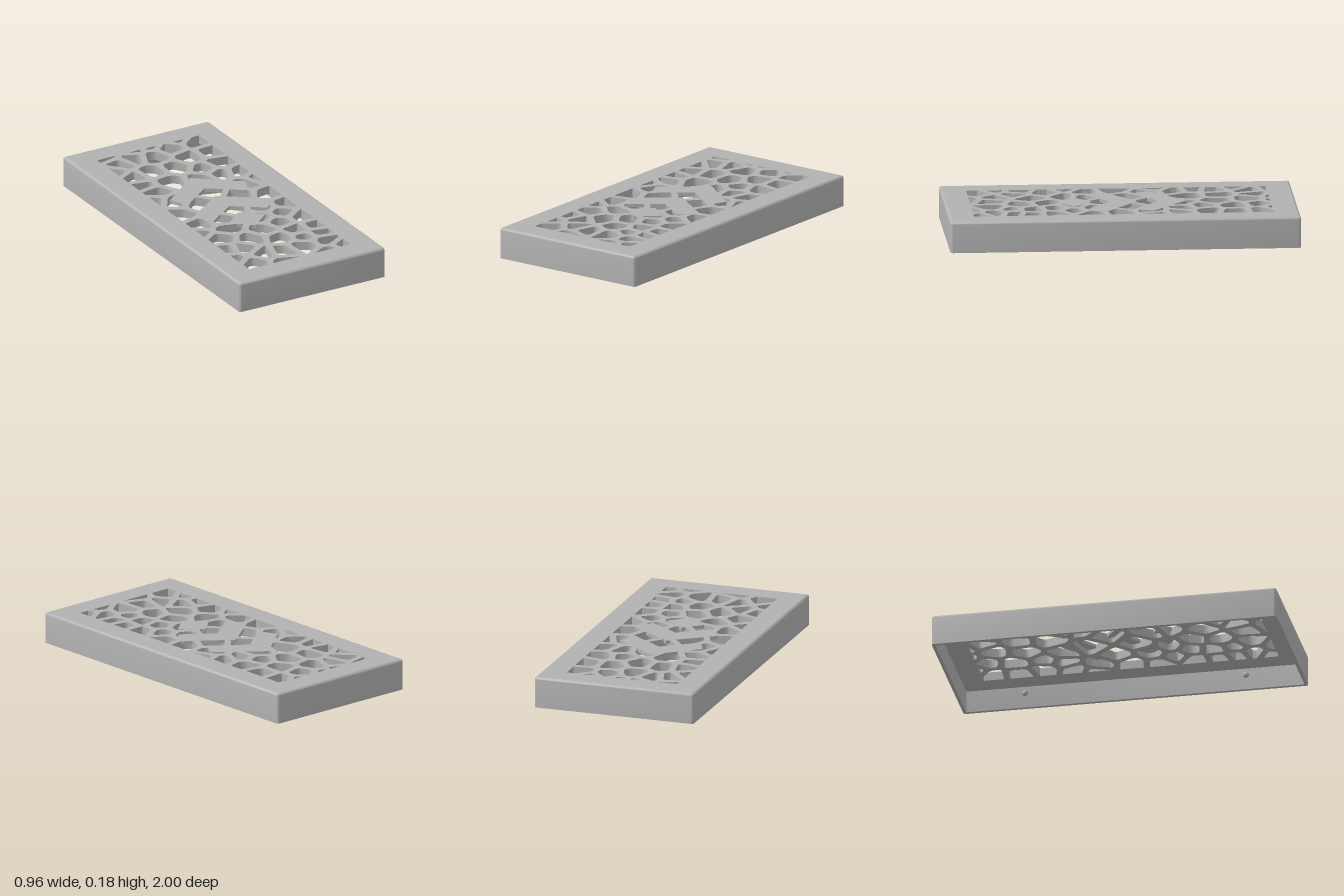
import * as THREE from 'three';
import { toCreasedNormals } from 'three/addons/utils/BufferGeometryUtils.js';

const W = 0.48, L = 1.0, H = 0.18;      // half width, half length, height
const PLATE = 0.05, WALL = 0.02, FILLET = 0.015;
const GX = 0.335, GZ = 0.855;           // half size of the pierced field
const RIB = 0.018;                      // half width of the ribs

// Centres of the grille cells (x, z)
const SEEDS = [
  [-.28, -.88], [-.1, -.89], [.02, -.9], [.2, -.88], [-.25, -.75], [-.15, -.78], [-.03, -.73], [.11, -.79],
  [.27, -.79], [-.34, -.67], [.14, -.64], [.28, -.64], [-.27, -.54], [-.14, -.56], [0, -.55], [.25, -.48],
  [.14, -.45], [-.29, -.43], [-.12, -.4], [.29, -.32], [-.27, -.32], [.05, -.34], [.18, -.36], [-.34, -.22],
  [-.23, -.15], [0, -.17], [.24, -.16], [.34, -.2], [-.13, -.06], [.14, -.05], [-.31, .02], [.27, .02],
  [0, .1], [-.27, .2], [-.13, .2], [.15, .16], [.3, .18], [-.34, .29], [-.16, .31], [.08, .28],
  [.22, .28], [-.26, .41], [-.11, .5], [.01, .43], [.14, .38], [.29, .38], [-.31, .57], [.04, .57],
  [.17, .52], [.29, .53], [-.22, .6], [.16, .63], [.27, .62], [-.34, .69], [-.26, .79], [-.15, .71],
  [-.05, .74], [.1, .73], [.25, .73], [.31, .83], [-.1, .87], [.2, .88],
];

// Keep the part of a convex polygon where n . p <= d
function clip(poly, nx, nz, d) {
  const out = [];
  poly.forEach((p, i) => {
    const q = poly[(i + 1) % poly.length];
    const a = p[0] * nx + p[1] * nz - d, b = q[0] * nx + q[1] * nz - d;
    if (a <= 0) out.push(p);
    if (a * b < 0) {
      const t = a / (a - b);
      out.push([p[0] + (q[0] - p[0]) * t, p[1] + (q[1] - p[1]) * t]);
    }
  });
  return out;
}

// One cell: bounded by the field edge and the shifted bisectors to its neighbours
function cell(seed) {
  let poly = [[-GX, -GZ], [GX, -GZ], [GX, GZ], [-GX, GZ]];
  for (const other of SEEDS) {
    if (other === seed) continue;
    const dx = other[0] - seed[0], dz = other[1] - seed[1], len = Math.hypot(dx, dz);
    const nx = dx / len, nz = dz / len;
    poly = clip(poly, nx, nz, nx * seed[0] + nz * seed[1] + len / 2 - RIB);
    if (poly.length < 3) return null;
  }
  const area = THREE.ShapeUtils.area(poly.map(p => new THREE.Vector2(...p)));
  return Math.abs(area) > 0.0003 ? poly : null;
}

// Closed path with soft corners, sharp where it meets the field edge
function softPath(poly) {
  const path = new THREE.Path(), n = poly.length;
  const toward = (p, q) => {
    const len = Math.hypot(q[0] - p[0], q[1] - p[1]), t = Math.min(0.025, len * 0.4) / len;
    return [p[0] + (q[0] - p[0]) * t, p[1] + (q[1] - p[1]) * t];
  };
  poly.forEach((p, i) => {
    const onEdge = Math.abs(p[0]) > GX - 1e-5 || Math.abs(p[1]) > GZ - 1e-5;
    const a = onEdge ? p : toward(p, poly[(i + n - 1) % n]);
    if (i === 0) path.moveTo(...a); else path.lineTo(...a);
    if (!onEdge) path.quadraticCurveTo(...p, ...toward(p, poly[(i + 1) % n]));
  });
  path.closePath();
  return path;
}

// Flat shape in x, z extruded downwards from the top face
function slab(shape, depth) {
  const g = new THREE.ExtrudeGeometry(shape, { depth, bevelEnabled: false, curveSegments: 4 });
  g.rotateX(Math.PI / 2).translate(0, H, 0);
  return toCreasedNormals(g, 0.6);
}

const polygon = pts => new THREE.Shape(pts.map(p => new THREE.Vector2(...p)));

// Hollow skirt: rounded-rectangle rings following a wall profile
function skirtGeometry() {
  const profile = [[WALL, H - PLATE], [WALL, 0], [0, 0]];   // inset, y
  for (let i = 0; i <= 4; i++) {
    const a = i / 4 * Math.PI / 2;
    profile.push([FILLET * (1 - Math.cos(a)), H - FILLET + FILLET * Math.sin(a)]);
  }
  const pos = [], index = [], N = 20;
  for (const [inset, y] of profile) {
    const r = Math.max(FILLET - inset, 0.0005);
    for (let c = 0; c < 4; c++) for (let k = 0; k < 5; k++) {
      const a = (c + k / 4) * Math.PI / 2;
      const sx = c === 0 || c === 3 ? 1 : -1, sz = c < 2 ? 1 : -1;
      pos.push(sx * (W - inset - r) + r * Math.cos(a), y, sz * (L - inset - r) + r * Math.sin(a));
    }
  }
  for (let j = 0; j < profile.length - 1; j++) for (let i = 0; i < N; i++) {
    const a = j * N + i, b = j * N + (i + 1) % N;
    index.push(a, a + N, b + N, a, b + N, b);
  }
  const g = new THREE.BufferGeometry();
  g.setAttribute('position', new THREE.Float32BufferAttribute(pos, 3));
  g.setIndex(index);
  return toCreasedNormals(g, 0.6);
}

export function createModel() {
  const group = new THREE.Group();
  const grey = new THREE.MeshStandardMaterial({ color: 0xb2b2b2 });
  grey.name = 'grey';
  const add = (name, geometry) => {
    const mesh = new THREE.Mesh(geometry, grey);
    mesh.name = name;
    group.add(mesh);
    return mesh;
  };

  add('skirt', skirtGeometry());

  // Top plate pierced by the cells
  const x = W - FILLET, z = L - FILLET;
  const plate = polygon([[-x, -z], [x, -z], [x, z], [-x, z]]);
  for (const seed of SEEDS) {
    const poly = cell(seed);
    if (poly) plate.holes.push(softPath(poly));
  }
  add('grillePlate', slab(plate, PLATE));

  // Solid panels closing part of the grille, thinner than the ribs
  const chevron = half => polygon([...half, ...half.slice(1, -1).reverse().map(([px, pz]) => [-px, pz])]);
  add('upperPanel', slab(chevron([[0, -.38], [.25, -.18], [.2, -.07], [0, -.22]]), 0.02));
  add('middlePanel', slab(chevron([[0, -.1], [.26, .09], [.18, .19], [0, .06]]), 0.02));
  add('lowerPanel', slab(chevron([[0, .16], [.12, .26], [0, .36]]), 0.02));

  // Small catches on the inside of the long walls
  for (const side of [-1, 1]) for (const pz of [-0.64, 0.64]) {
    add('catch', new THREE.SphereGeometry(0.018, 16, 10)).position.set(side * (W - WALL), 0.09, pz);
  }
  return group;
}
